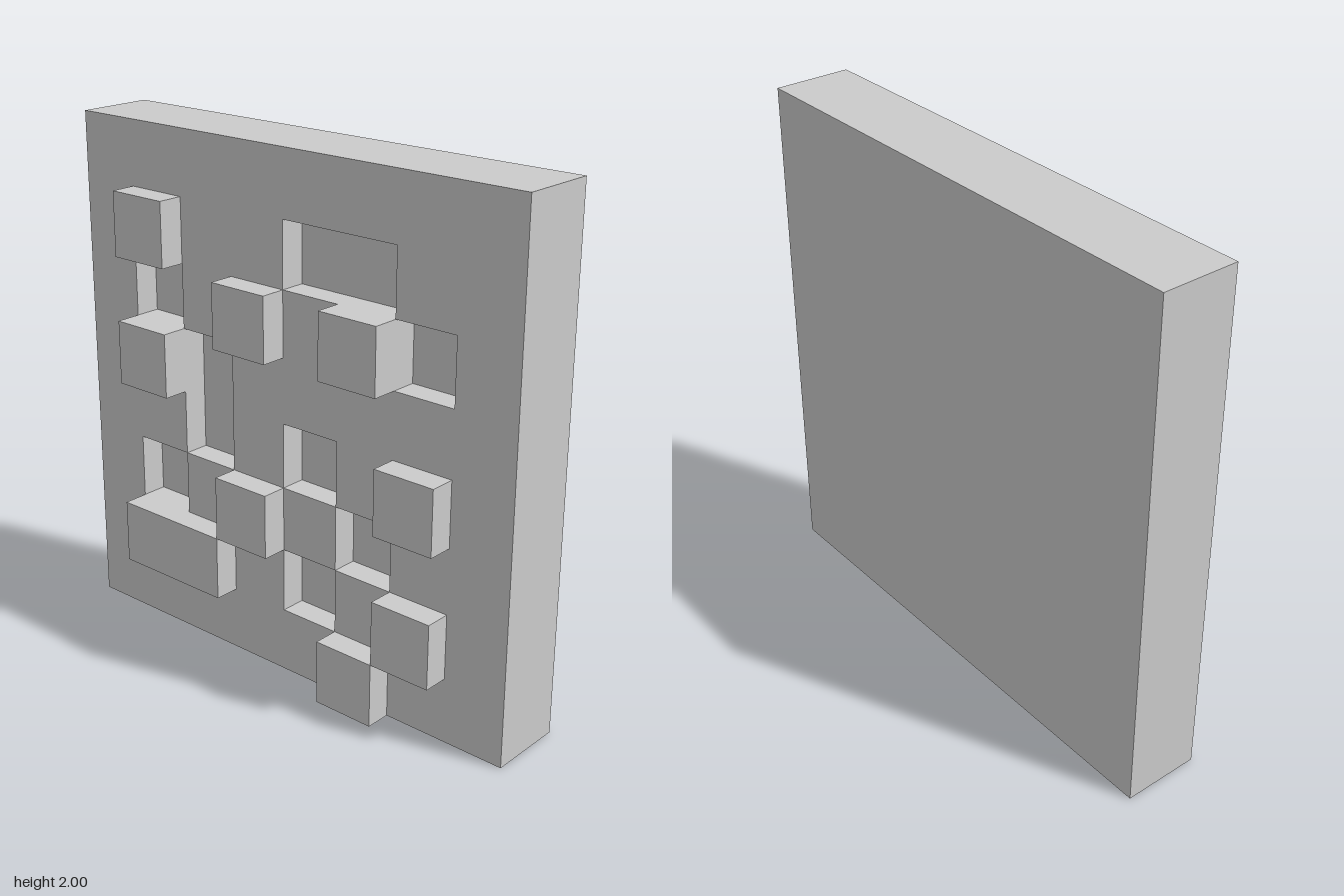
import * as THREE from 'three';
import { mergeGeometries } from 'three/addons/utils/BufferGeometryUtils.js';

// Relief pattern, top row first: '#' raised block, 'o' sunken pocket, '.' flush panel
const PATTERN = [
  '........',
  '.#..oo..',
  '.o.#.#o.',
  '.#o.....',
  '..o.o.#.',
  '.o.#.o..',
  '.##.o.#.',
  '.....#..',
];
const CELL = 0.25;
const BACK = -0.2;
const LEVEL = { '#': 0.2, '.': 0.1, o: 0 };
const NAMES = { '#': 'raisedBlocks', '.': 'panel', o: 'pocketFloors' };

// Front height of a cell; outside the grid it drops to the back plane
const levelAt = (row, col) => LEVEL[PATTERN[row]?.[col]] ?? BACK;

// Front face of a cell plus a wall down to every lower neighbour
function cellFaces(row, col) {
  const z = levelAt(row, col);
  const faces = [new THREE.PlaneGeometry(CELL, CELL).translate(0, 0, z)];
  [[0, 1], [-1, 0], [0, -1], [1, 0]].forEach(([dr, dc], i) => {
    const low = levelAt(row + dr, col + dc);
    if (low >= z) return;
    faces.push(new THREE.PlaneGeometry(z - low, CELL)
      .rotateY(Math.PI / 2)
      .translate(CELL / 2, 0, (z + low) / 2)
      .rotateZ(i * Math.PI / 2));
  });
  const x = -1 + (col + 0.5) * CELL;
  const y = 2 - (row + 0.5) * CELL;
  return faces.map((f) => f.translate(x, y, 0));
}

export function createModel() {
  const group = new THREE.Group();
  group.name = 'reliefPanel';
  const material = new THREE.MeshStandardMaterial({ color: 0xcccccc, flatShading: true });
  const add = (name, geometry) => {
    const mesh = new THREE.Mesh(geometry, material);
    mesh.name = name;
    group.add(mesh);
  };

  // Relief front and outer edges, one mesh per level
  for (const kind of Object.keys(LEVEL)) {
    const faces = [];
    PATTERN.forEach((line, row) => [...line].forEach((c, col) => {
      if (c === kind) faces.push(...cellFaces(row, col));
    }));
    add(NAMES[kind], mergeGeometries(faces));
  }

  // Plain back
  add('back', new THREE.PlaneGeometry(2, 2).rotateY(Math.PI).translate(0, 1, BACK));
  return group;
}
